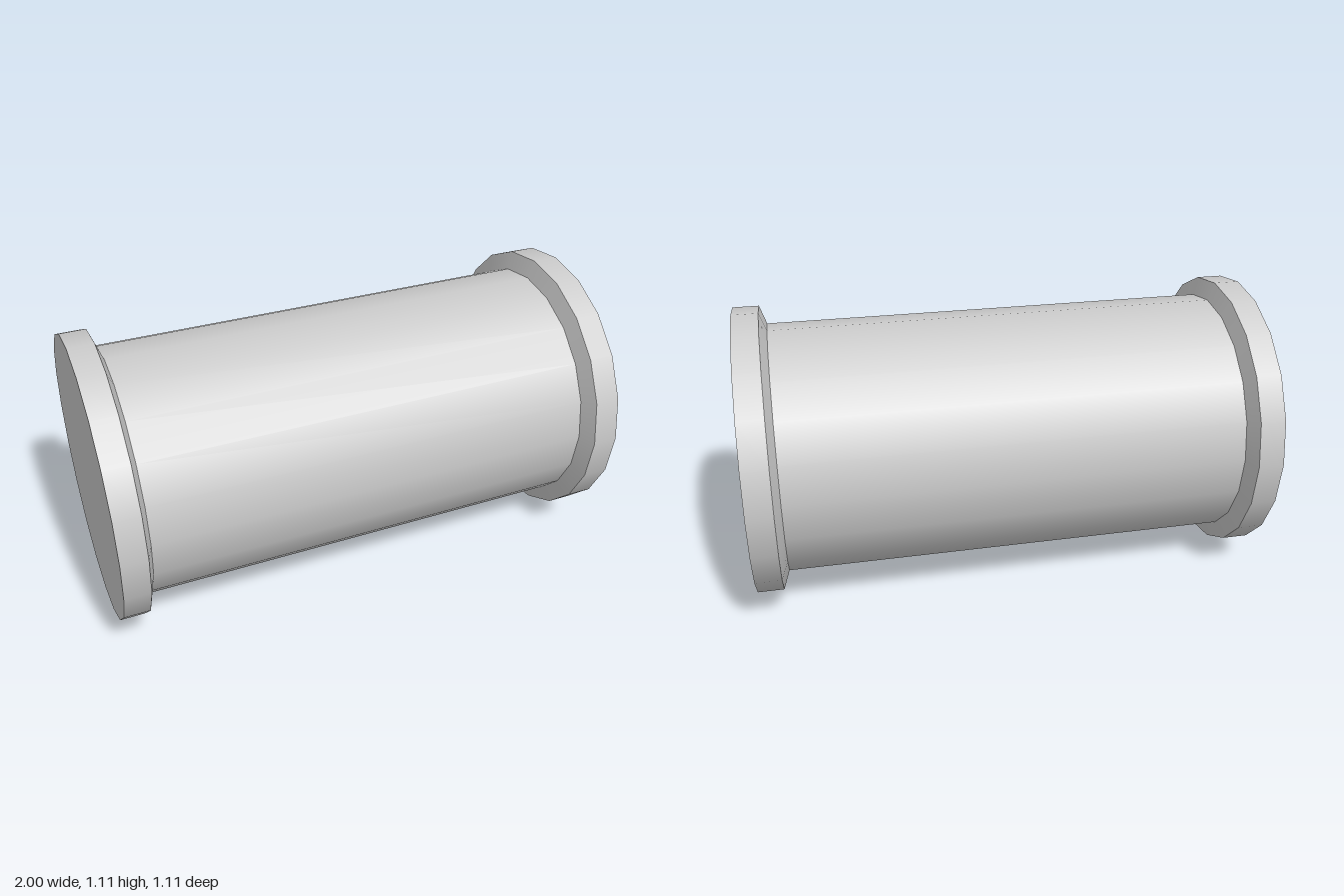
import * as THREE from 'three';

const SIDES = 20;
const RIM_R = 0.555;
const BODY_R = 0.485;
const BEVEL_START = 0.875; // where the collar leaves the body
const RIM_START = 0.9;

export function createModel() {
  const group = new THREE.Group();
  group.name = 'flangedCylinder';
  const material = new THREE.MeshStandardMaterial({ color: 0xcccccc });

  const add = (parent, name, geometry) => {
    const mesh = new THREE.Mesh(geometry, material);
    mesh.name = name;
    parent.add(mesh);
    return mesh;
  };
  // Open band of the turned surface between two heights along its axis
  const band = (r0, r1, y0, y1) =>
    new THREE.CylinderGeometry(r1, r0, y1 - y0, SIDES, 1, true).translate(0, (y0 + y1) / 2, 0);

  // Central barrel, lying along x
  const body = add(group, 'body', band(BODY_R, BODY_R, -BEVEL_START, BEVEL_START));
  body.rotation.z = -Math.PI / 2;
  body.position.y = RIM_R;

  // A flange at each end: sloped shoulder, rim and flat end face
  for (const side of [1, -1]) {
    const flange = new THREE.Group();
    flange.name = side > 0 ? 'leftFlange' : 'rightFlange';
    add(flange, 'shoulder', band(BODY_R, RIM_R, BEVEL_START, RIM_START));
    add(flange, 'rim', band(RIM_R, RIM_R, RIM_START, 1));
    add(flange, 'endFace', new THREE.CircleGeometry(RIM_R, SIDES).rotateX(-Math.PI / 2).translate(0, 1, 0));
    flange.rotation.z = -side * Math.PI / 2;
    flange.position.y = RIM_R;
    group.add(flange);
  }
  return group;
}
